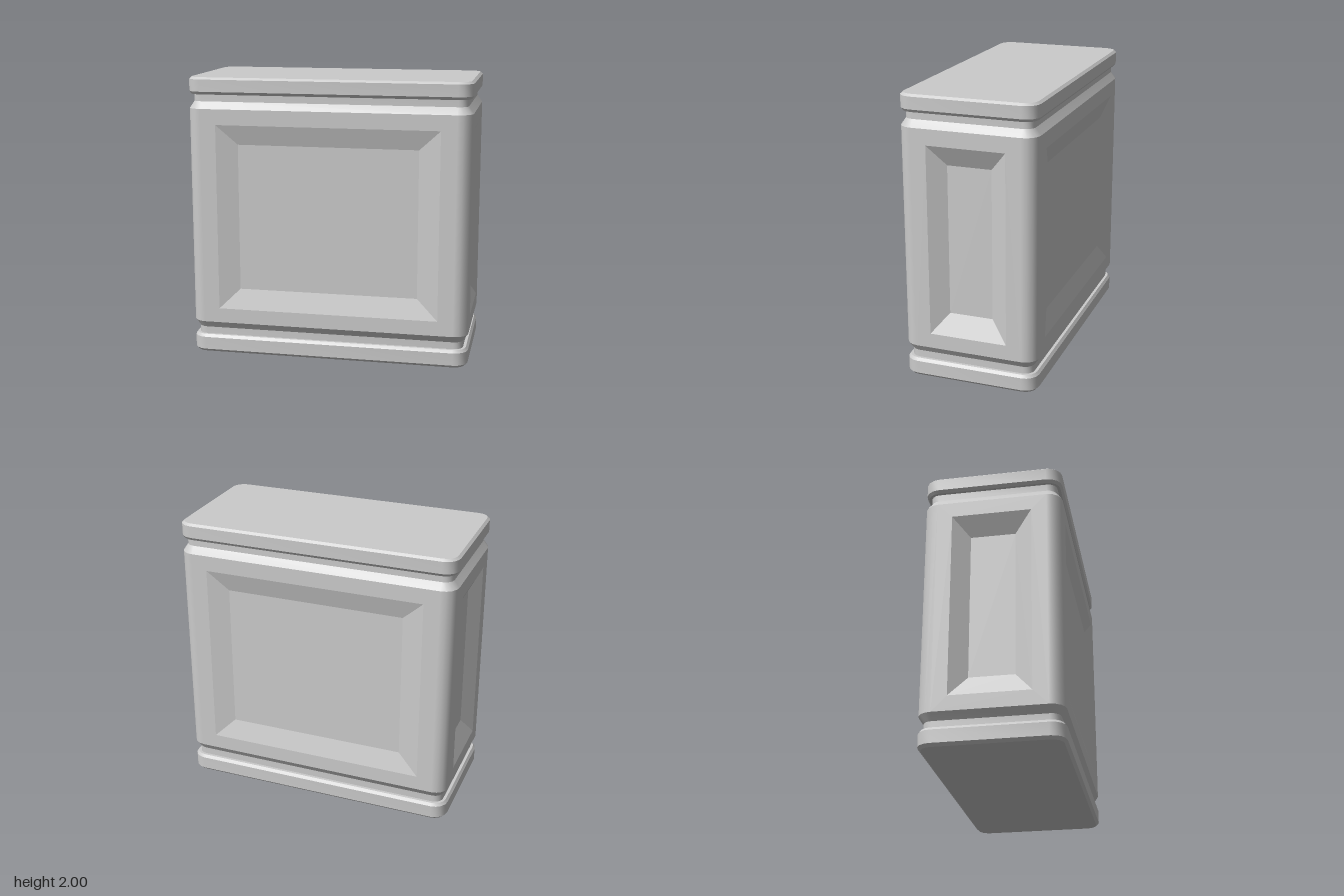
import * as THREE from 'three';
import { toCreasedNormals } from 'three/addons/utils/BufferGeometryUtils.js';

const W = 1, D = 0.48, R = 0.1, SEG = 4;   // half width, half depth, corner radius
const Y0 = 0.23, Y1 = 1.78;                // straight part of the body
const material = new THREE.MeshStandardMaterial({ color: 0xcccccc });

function fromTriangles(points) {
  const g = new THREE.BufferGeometry().setFromPoints(points);
  g.computeVertexNormals();
  return g;
}

function addMesh(parent, name, geometry) {
  const mesh = new THREE.Mesh(geometry, material);
  mesh.name = name;
  parent.add(mesh);
  return mesh;
}

// Rounded rectangle outline at height y, shrunk by inset
function ring(y, inset) {
  const r = R - inset, pts = [];
  for (let c = 0; c < 4; c++) {
    const sx = c === 0 || c === 3 ? 1 : -1, sz = c < 2 ? 1 : -1;
    for (let i = 0; i <= SEG; i++) {
      const a = (c + i / SEG) * Math.PI / 2;
      pts.push(new THREE.Vector3(sx * (W - R) + r * Math.cos(a), y, sz * (D - R) + r * Math.sin(a)));
    }
  }
  return pts;
}

// Skin stacked outlines [y, inset], closing the bottom or the top
function stack(profile, capTop) {
  const rings = profile.map(([y, inset]) => ring(y, inset));
  const tris = [], n = rings[0].length;
  for (let k = 0; k < rings.length - 1; k++) {
    const lo = rings[k], hi = rings[k + 1];
    for (let i = 0; i < n; i++) {
      const j = (i + 1) % n;
      tris.push(lo[i], hi[i], hi[j], lo[i], hi[j], lo[j]);
    }
  }
  const cap = capTop ? rings[rings.length - 1] : rings[0];
  const centre = new THREE.Vector3(0, cap[0].y, 0);
  for (let i = 0; i < n; i++) {
    const j = (i + 1) % n;
    if (capTop) tris.push(centre, cap[j], cap[i]);
    else tris.push(centre, cap[i], cap[j]);
  }
  return toCreasedNormals(fromTriangles(tris), 0.5);
}

const rectangle = (w, y0, y1) =>
  [[-w, y0], [w, y0], [w, y1], [-w, y1]].map(([x, y]) => new THREE.Vector2(x, y));

// One wall facing +z: flat frame around a bevelled recess
function createWall(name, half, dist, open, inner, depth) {
  const wall = new THREE.Group();
  wall.name = name;
  const outerEdge = rectangle(open, 0.335, 1.67), innerEdge = rectangle(inner, 0.48, 1.53);
  const frame = new THREE.Shape(rectangle(half - R, Y0, Y1));
  frame.holes.push(new THREE.Path(outerEdge));
  addMesh(wall, 'frame', new THREE.ShapeGeometry(frame)).position.z = dist;

  const o = outerEdge.map(p => new THREE.Vector3(p.x, p.y, dist));
  const n = innerEdge.map(p => new THREE.Vector3(p.x, p.y, dist - depth));
  const tris = [n[0], n[1], n[2], n[0], n[2], n[3]];
  for (let i = 0; i < 4; i++) {
    const j = (i + 1) % 4;
    tris.push(o[i], o[j], n[j], o[i], n[j], n[i]);
  }
  addMesh(wall, 'recessedPanel', fromTriangles(tris));
  return wall;
}

export function createModel() {
  const model = new THREE.Group();
  model.name = 'panelledBlock';

  // Foot slab, groove and flare below the body
  addMesh(model, 'base', stack([
    [0, 0.02], [0.02, 0], [0.11, 0], [0.13, 0.015],
    [0.13, 0.035], [0.18, 0.035], [Y0, 0],
  ], false));

  // Shoulder, groove and top slab above the body
  addMesh(model, 'lid', stack([
    [Y1, 0], [1.83, 0.035], [1.88, 0.035],
    [1.88, 0.015], [1.9, 0], [1.985, 0], [2, 0.018],
  ], true));

  // Four panelled walls
  ['front', 'left', 'back', 'right'].forEach((side, i) => {
    const wall = i % 2
      ? createWall(side + 'Wall', D, W, 0.275, 0.155, 0.07)
      : createWall(side + 'Wall', W, D, 0.79, 0.64, 0.04);
    wall.rotation.y = i * Math.PI / 2;
    model.add(wall);
  });

  // Rounded vertical corners
  [[1, 1], [1, -1], [-1, -1], [-1, 1]].forEach(([sx, sz], i) => {
    const g = new THREE.CylinderGeometry(R, R, Y1 - Y0, SEG, 1, true, i * Math.PI / 2, Math.PI / 2);
    addMesh(model, 'corner', g).position.set(sx * (W - R), (Y0 + Y1) / 2, sz * (D - R));
  });

  return model;
}
